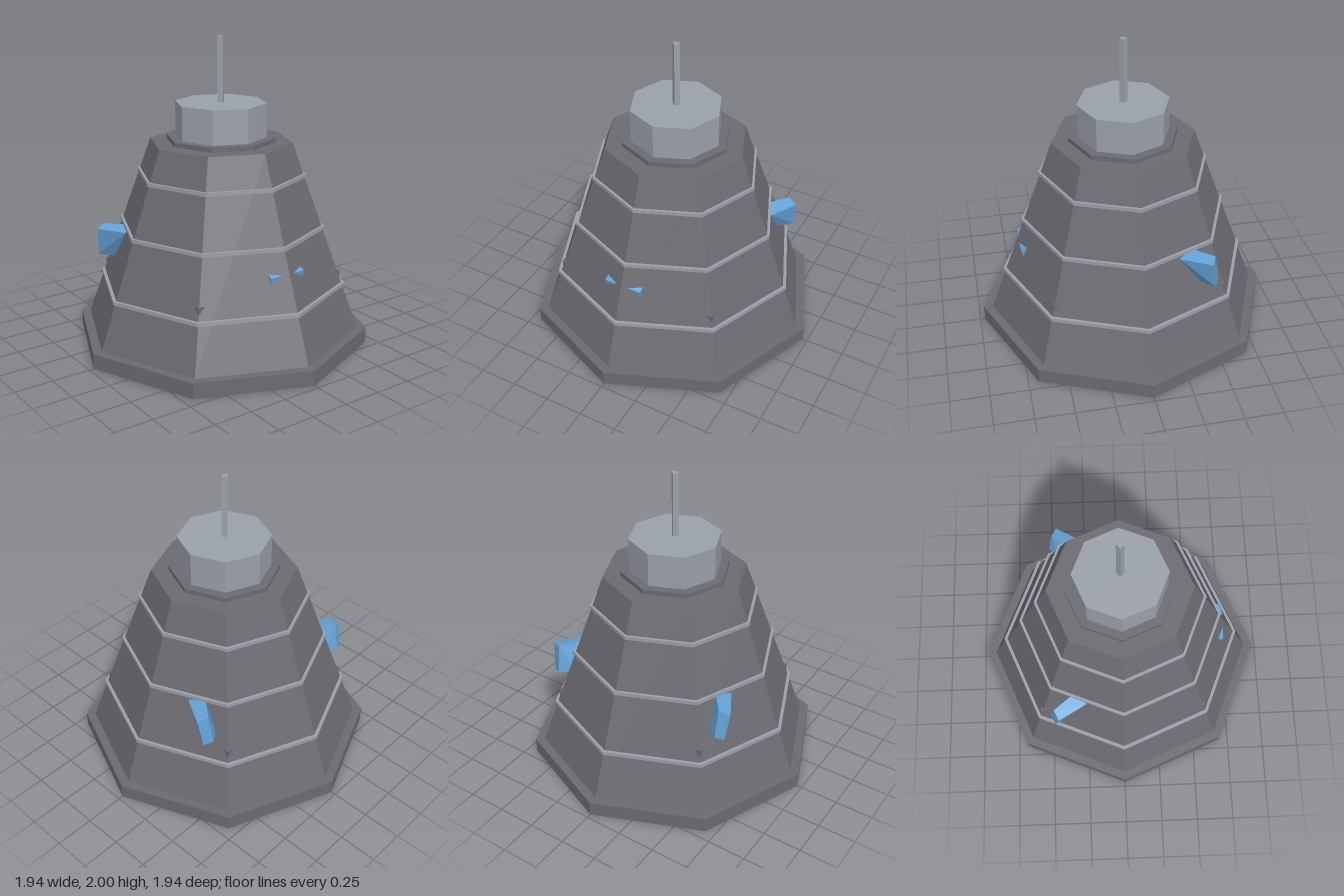
import * as THREE from 'three';
import { ConvexGeometry } from 'three/addons/geometries/ConvexGeometry.js';

const material = (name, color) => new THREE.MeshStandardMaterial({ name, color, flatShading: true });

export function createModel() {
  const group = new THREE.Group();
  const hull = material('dark grey hull', 0x6b6a70);
  const trim = material('light grey trim', 0x9aa0a9);
  const blue = material('blue detail', 0x62a2d6);

  const add = (name, geometry, mat) => {
    const mesh = new THREE.Mesh(geometry, mat);
    mesh.name = name;
    group.add(mesh);
    return mesh;
  };
  // Upright prism or frustum between two heights
  const tier = (name, rBottom, rTop, y0, y1, mat, sides = 8) => {
    add(name, new THREE.CylinderGeometry(rTop, rBottom, y1 - y0, sides), mat).position.y = (y0 + y1) / 2;
  };
  // Faceted solid and its mirror image across x = 0
  const mirrored = (name, points, mat) => {
    for (const [side, s] of [['left', 1], ['right', -1]]) {
      const corners = points.map(([x, y, z]) => new THREE.Vector3(s * x, y, z));
      add(side + name, new ConvexGeometry(corners), mat);
    }
  };

  // Octagonal tower
  tier('base', 0.97, 0.97, 0, 0.1, hull);
  tier('body', 0.91, 0.463, 0.1, 1.33, hull);
  tier('collar', 0.352, 0.352, 1.33, 1.36, hull);
  tier('cap', 0.295, 0.295, 1.36, 1.58, trim);
  tier('mast', 0.025, 0.025, 1.58, 2, trim, 4);

  // Thin bands around the body
  for (const [y, r] of [[0.4, 0.818], [0.78, 0.677], [1.12, 0.552]]) {
    tier('band', r, r, y - 0.012, y + 0.012, trim);
  }

  // Small studs poking out of the diagonal edges
  for (const x of [-1, 1]) for (const z of [-1, 1]) {
    add('cornerStud', new THREE.BoxGeometry(0.06, 0.06, 0.06), hull).position.set(x * 0.525, 0.463, z * 0.525);
  }

  // Slanted eyes on the front
  mirrored('Eye', [
    [0.04, 0.632, 0.705], [0.125, 0.645, 0.667], [0.125, 0.627, 0.7],
    [0.125, 0.585, 0.69], [0.11, 0.62, 0.64],
  ], blue);

  // Thick swept fins on the sides
  mirrored('Fin', [
    [0.58, 0.75, -0.24], [0.685, 0.75, -0.425], [0.665, 0.565, -0.455], [0.58, 0.555, -0.38],
    [0.505, 0.775, -0.31], [0.62, 0.77, -0.455], [0.61, 0.58, -0.485], [0.52, 0.575, -0.42],
  ], blue);

  return group;
}
